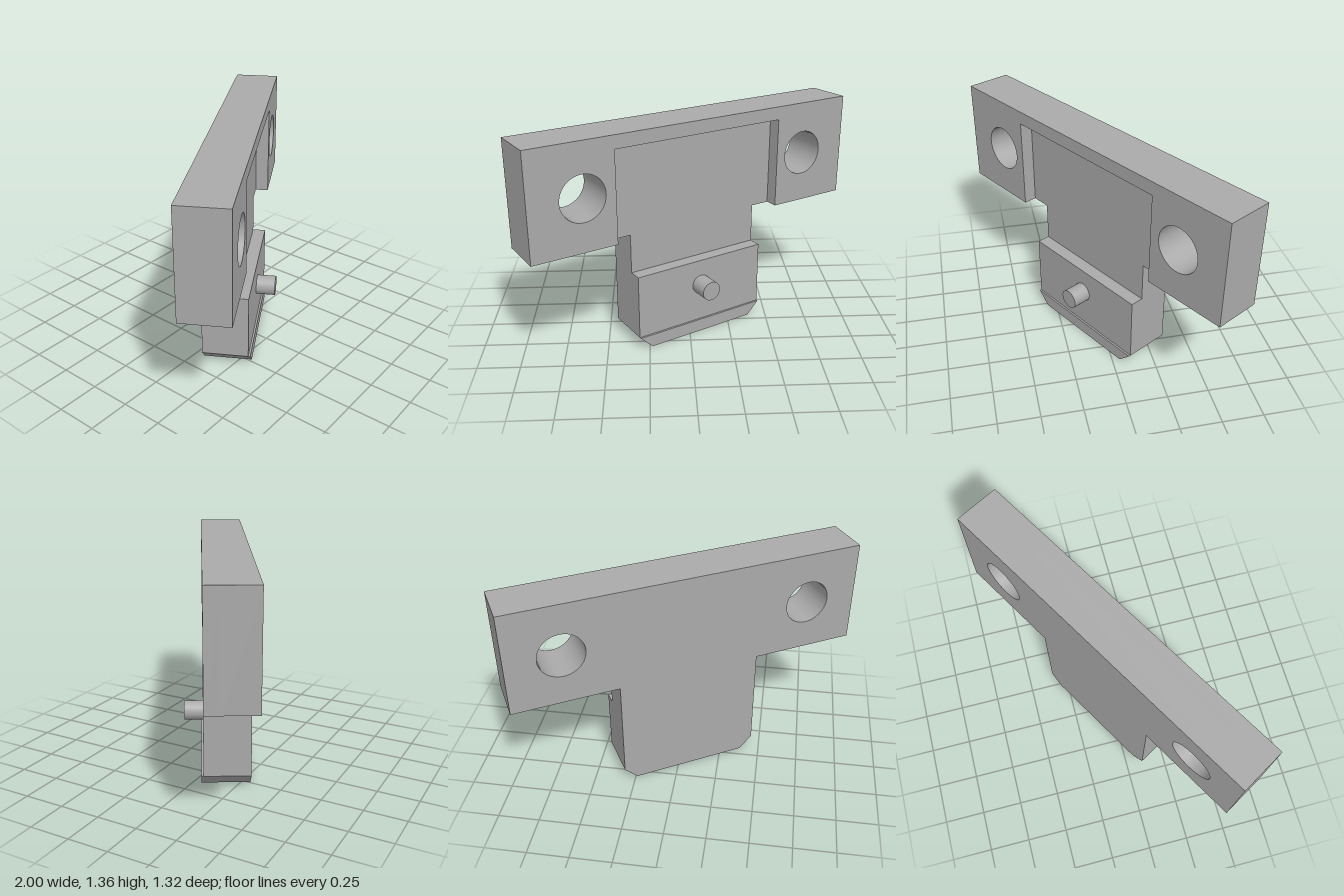
import * as THREE from 'three';
import { toCreasedNormals } from 'three/addons/utils/BufferGeometryUtils.js';

// Bracket dimensions in its own frame (x along the bar, z through the plate)
const BAR = 1.0745, BAR_LOW = 0.72, BAR_TOP = 1.355;
const STEM = 0.437, CHAMFER = 0.08;
const POCKET = 0.557, POCKET_TOP = 1.275;
const BACK = -0.139, FLOOR = 0.059, FRONT = 0.139, LIP = 0.151;
const HOLE_X = 0.755, HOLE_Y = 1.035, HOLE_R = 0.137;

// Closed shape symmetric about x = 0, from its right-hand outline
function mirrored(right) {
  const left = right.map(([x, y]) => [-x, y]).reverse();
  return new THREE.Shape([...right, ...left].map(([x, y]) => new THREE.Vector2(x, y)));
}

function addBoltHoles(shape) {
  for (const side of [-1, 1]) {
    const hole = new THREE.Path();
    hole.absarc(side * HOLE_X, HOLE_Y, HOLE_R, 0, Math.PI * 2, true);
    shape.holes.push(hole);
  }
  return shape;
}

export function createModel() {
  const model = new THREE.Group();
  model.name = 'bracket';
  const grey = new THREE.MeshStandardMaterial({ color: 0xaaaaaa });
  grey.name = 'grey';

  const add = (name, geometry) => {
    const mesh = new THREE.Mesh(geometry, grey);
    mesh.name = name;
    model.add(mesh);
    return mesh;
  };
  const layer = (name, shape, z0, z1) => {
    const geometry = new THREE.ExtrudeGeometry(shape, {
      depth: z1 - z0, bevelEnabled: false, curveSegments: 40,
    });
    geometry.translate(0, 0, z0);
    add(name, toCreasedNormals(geometry, 0.5));
  };

  // T-shaped plate, up to the pocket floor
  layer('backPlate', addBoltHoles(mirrored([
    [STEM - CHAMFER, 0], [STEM, CHAMFER], [STEM, BAR_LOW],
    [BAR, BAR_LOW], [BAR, BAR_TOP],
  ])), BACK, FLOOR);

  // Raised frame around the pocket
  layer('pocketFrame', addBoltHoles(mirrored([
    [POCKET, POCKET_TOP], [POCKET, BAR_LOW], [BAR, BAR_LOW], [BAR, BAR_TOP],
  ])), FLOOR, FRONT);

  // Thick lower block and its slightly proud chamfered foot
  layer('lowerBlock', mirrored([[STEM, CHAMFER], [STEM, 0.48]]), FLOOR, FRONT);
  layer('footLip', mirrored([[STEM - CHAMFER, 0], [STEM, CHAMFER]]), FLOOR, LIP);

  // Locating pin
  const pin = add('pin', new THREE.CylinderGeometry(0.06, 0.06, 0.135, 40));
  pin.rotation.x = Math.PI / 2;
  pin.position.set(0, 0.32, 0.1875);

  model.rotation.y = Math.PI / 6;
  return model;
}
